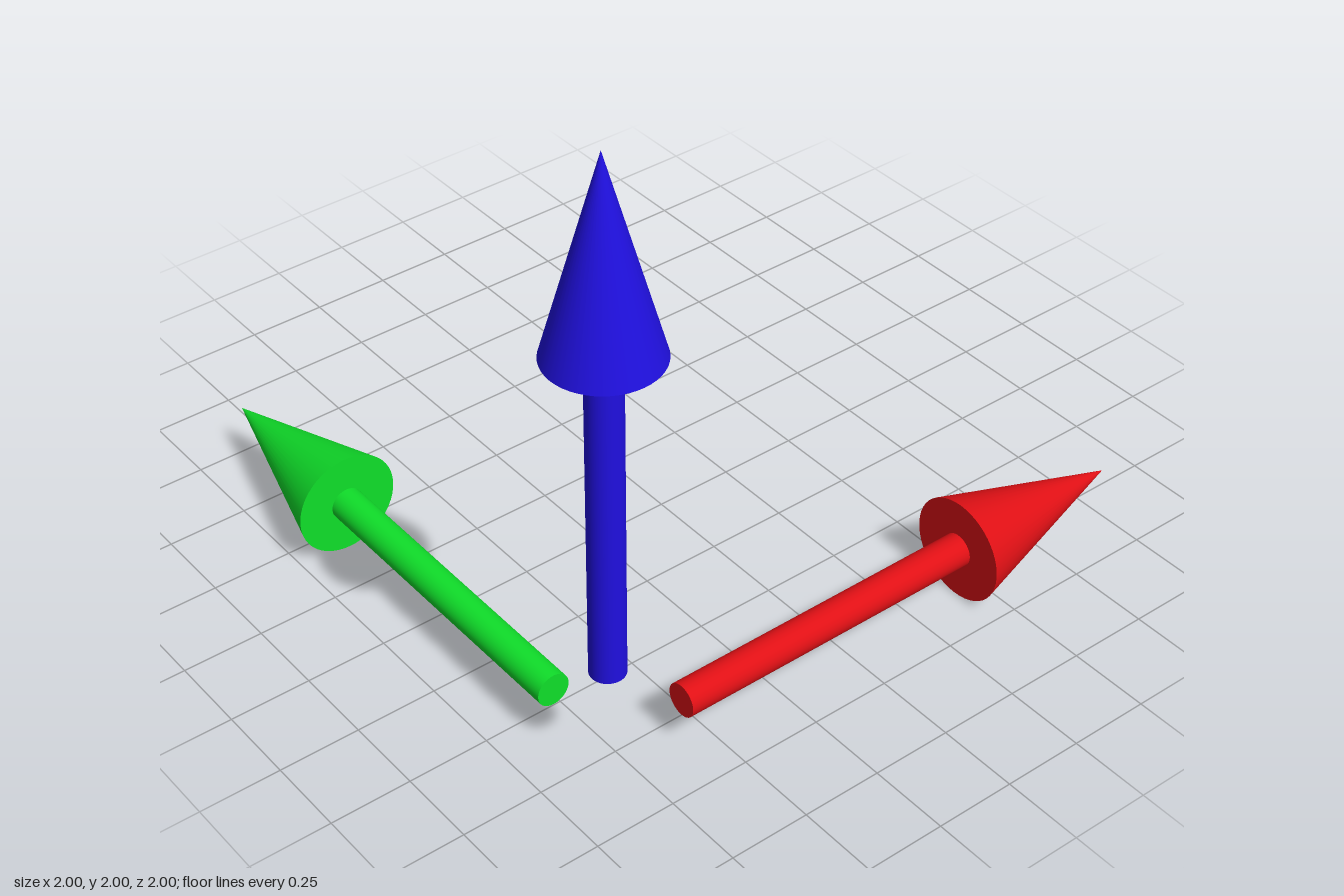
import * as THREE from 'three';

const ORIGIN = [-0.839, 0.161, 0.839];
const SHAFT_START = 0.245, HEAD_START = 1.255, TIP = 1.839;
const SHAFT_RADIUS = 0.051, HEAD_RADIUS = 0.161, SIDES = 48;

// One arrow along +y, measured from the common origin
function createArrow(name, color) {
  const arrow = new THREE.Group();
  arrow.name = name;
  const material = new THREE.MeshStandardMaterial({ color });

  const shaftLength = HEAD_START - SHAFT_START;
  const shaft = new THREE.Mesh(
    new THREE.CylinderGeometry(SHAFT_RADIUS, SHAFT_RADIUS, shaftLength, SIDES), material);
  shaft.name = 'shaft';
  shaft.position.y = SHAFT_START + shaftLength / 2;

  const headLength = TIP - HEAD_START;
  const head = new THREE.Mesh(
    new THREE.ConeGeometry(HEAD_RADIUS, headLength, SIDES), material);
  head.name = 'head';
  head.position.y = HEAD_START + headLength / 2;

  arrow.add(shaft, head);
  arrow.position.set(...ORIGIN);
  return arrow;
}

export function createModel() {
  const model = new THREE.Group();
  model.name = 'axisArrows';

  // Arrow pointing up
  const up = createArrow('upArrow', 0x2010e0);

  // Arrow pointing along +x
  const side = createArrow('sideArrow', 0xe01015);
  side.rotation.z = -Math.PI / 2;

  // Arrow pointing along -z
  const back = createArrow('backArrow', 0x10e02a);
  back.rotation.x = -Math.PI / 2;

  model.add(up, side, back);
  return model;
}
